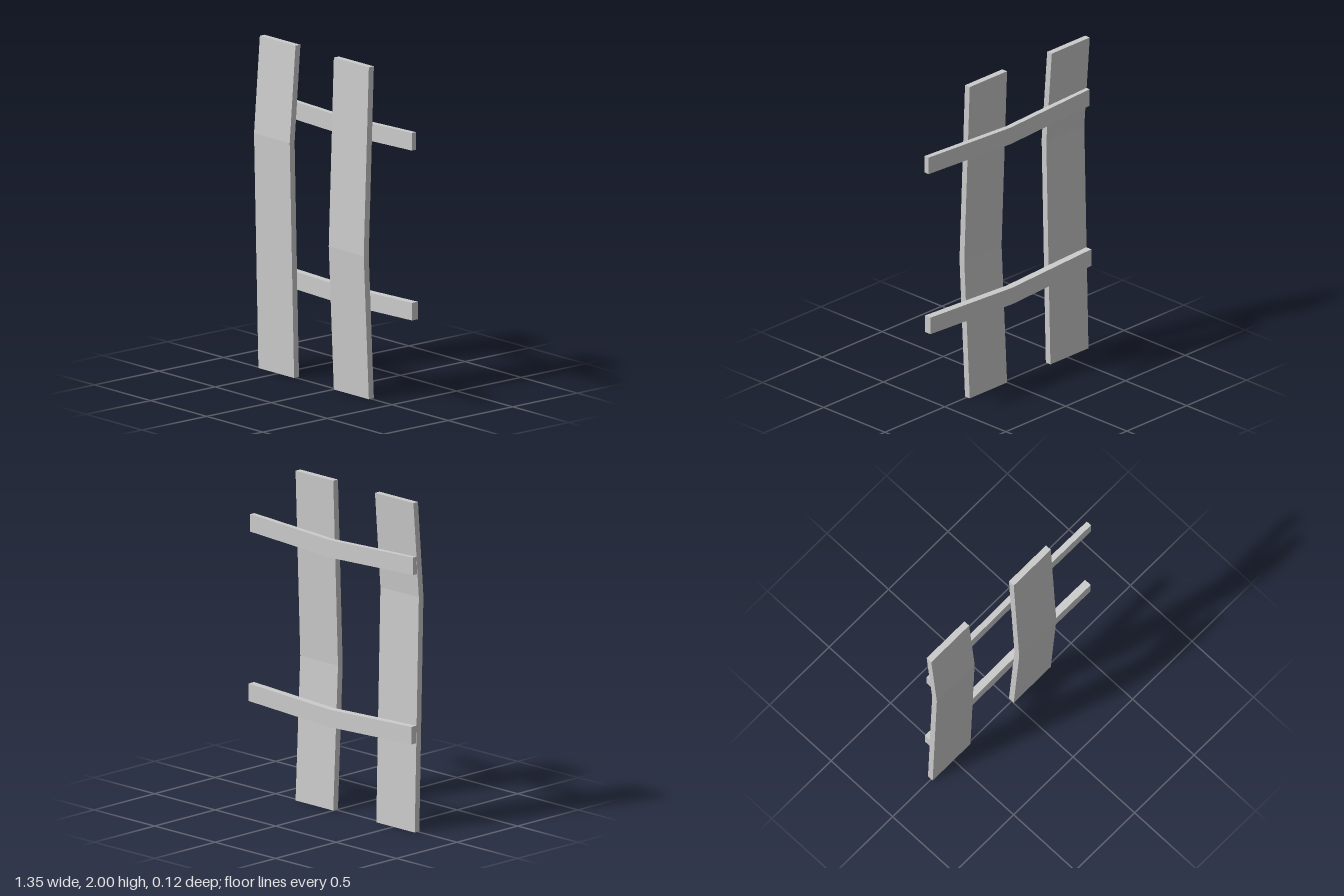
import * as THREE from 'three';

const material = new THREE.MeshStandardMaterial({ color: 0xcccccc, flatShading: true });

// A two-segment box whose three rings of vertices are moved to given centres.
function bentBoard(name, axis, size, rings) {
  const segments = axis === 'y' ? [1, 2, 1] : [2, 1, 1];
  const geometry = new THREE.BoxGeometry(...size, ...segments);
  const pos = geometry.attributes.position;
  const i = axis === 'y' ? 1 : 0;
  const v = new THREE.Vector3();
  for (let n = 0; n < pos.count; n++) {
    v.fromBufferAttribute(pos, n);
    const ring = rings[Math.round((v.getComponent(i) / size[i] + 0.5) * 2)];
    v.setComponent(i, 0);
    v.add(new THREE.Vector3(...ring));
    pos.setXYZ(n, v.x, v.y, v.z);
  }
  geometry.computeVertexNormals();
  const mesh = new THREE.Mesh(geometry, material);
  mesh.name = name;
  return mesh;
}

export function createModel() {
  const group = new THREE.Group();
  group.name = 'fenceSection';

  // Upright planks, each bowed forward at its own height
  group.add(
    bentBoard('rightPlank', 'y', [0.318, 2, 0.038], [
      [-0.517, 0, -0.007], [-0.517, 1.42, 0.027], [-0.517, 2, -0.018],
    ]),
    bentBoard('leftPlank', 'y', [0.312, 2, 0.039], [
      [0.157, 0, -0.003], [0.16, 0.87, 0.039], [0.157, 2, -0.003],
    ]),
  );

  // Cross rails behind the planks, sagging and bowed back in the middle
  const rails = [
    ['upperRail', 1.616, 1.592, -0.021, -0.032, 0.034],
    ['lowerRail', 0.592, 0.569, -0.029, -0.041, 0.046],
  ];
  for (const [name, endY, midY, endZ, midZ, depth] of rails) {
    group.add(bentBoard(name, 'x', [1.346, 0.106, depth], [
      [-0.674, endY, endZ], [0, midY, midZ], [0.672, endY, endZ],
    ]));
  }
  return group;
}
